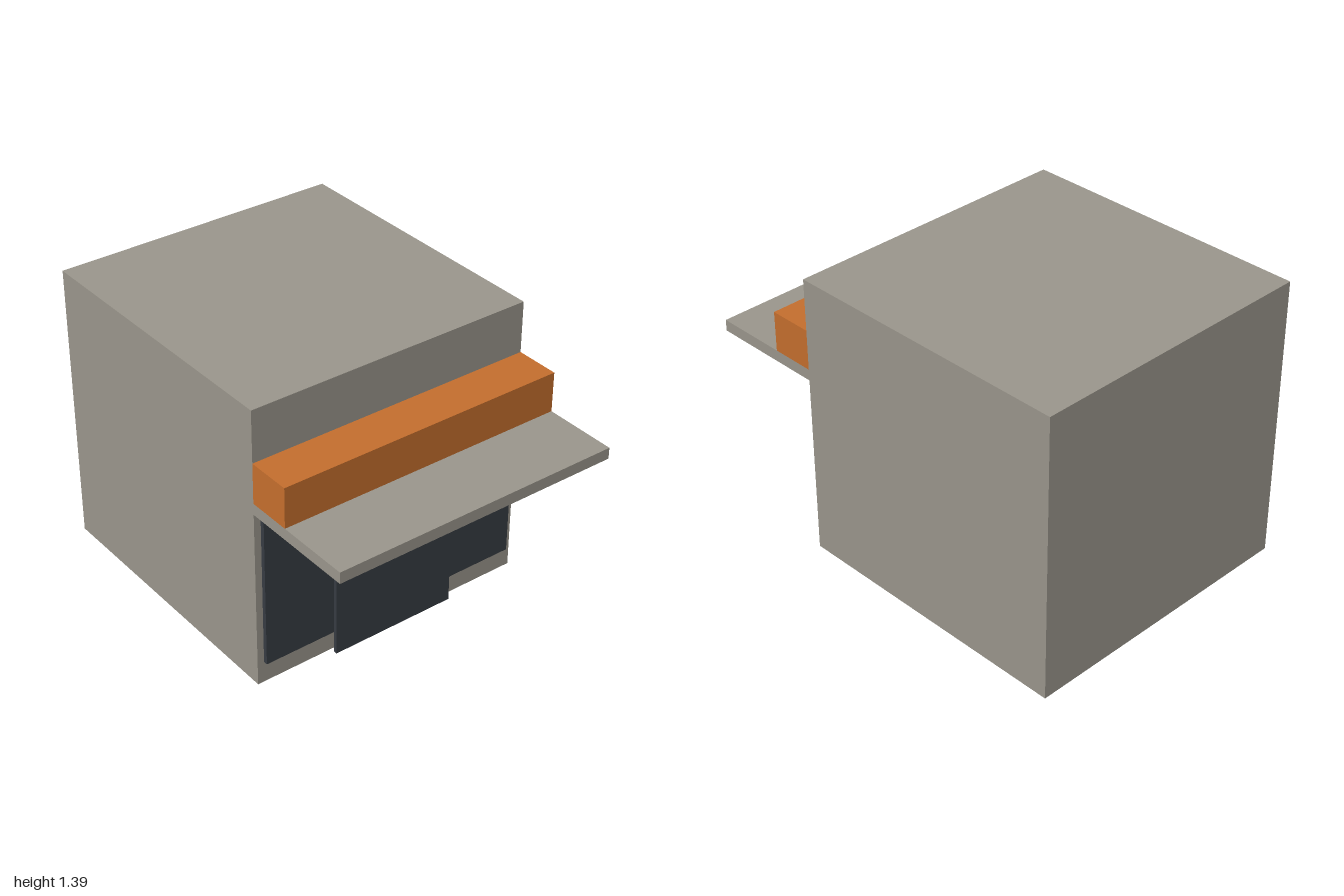
import * as THREE from 'three';

const paint = (name, color) => {
  const material = new THREE.MeshStandardMaterial({ color });
  material.name = name;
  return material;
};

// Box given by its width (centred on x) and its y and z ranges
function block(name, material, width, [y0, y1], [z0, z1]) {
  const mesh = new THREE.Mesh(new THREE.BoxGeometry(width, y1 - y0, z1 - z0), material);
  mesh.position.set(0, (y0 + y1) / 2, (z0 + z1) / 2);
  mesh.name = name;
  return mesh;
}

export function createModel() {
  const concrete = paint('concrete grey', 0x98948a);
  const orange = paint('sign orange', 0xc26d2d);
  const glass = paint('dark glass', 0x363b42);

  const width = 1.425;
  const wall = 0.427; // z of the front wall

  const shop = new THREE.Group();
  shop.name = 'shop';
  shop.add(
    block('building', concrete, width, [0, 1.395], [-1, wall]),
    block('canopy', concrete, width, [0.895, 0.95], [wall, 1]),
    block('signBoard', orange, width, [0.95, 1.145], [wall, 0.642]),
    block('shopWindow', glass, 1.358, [0.108, 0.895], [wall, 0.448]),
    // The door stands just in front of the window pane
    block('door', glass, 0.64, [0, 0.824], [0.448, 0.467]),
  );
  return shop;
}
